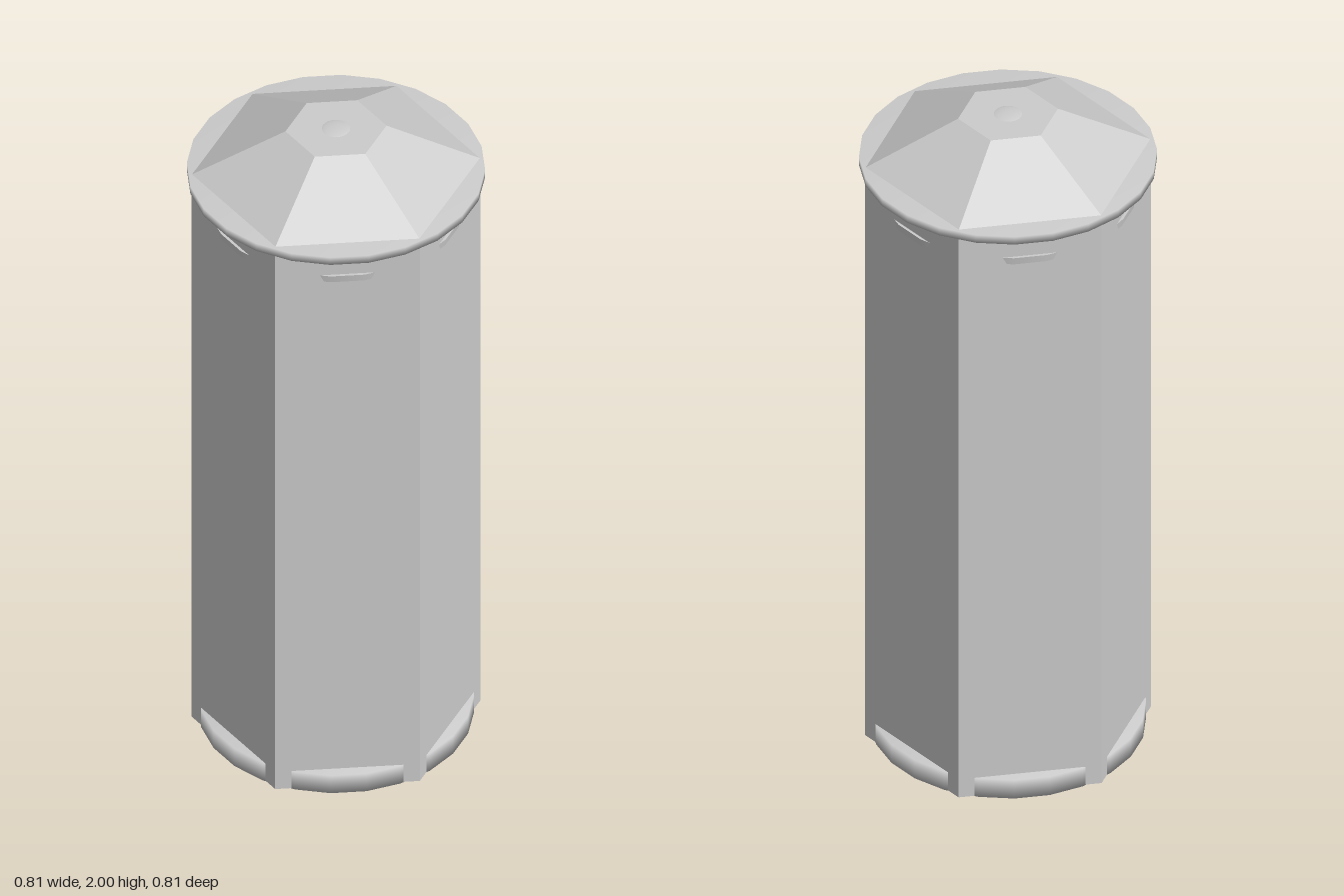
import * as THREE from 'three';
import { mergeVertices } from 'three/addons/utils/BufferGeometryUtils.js';

const HEX_RADIUS = 0.395;

export function createModel() {
  const group = new THREE.Group();
  const grey = new THREE.MeshStandardMaterial({ color: 0xcccccc });
  grey.name = 'light grey';

  function add(name, geometry) {
    const mesh = new THREE.Mesh(geometry, grey);
    mesh.name = name;
    group.add(mesh);
    return mesh;
  }

  // Six-sided section with a corner facing front and back, flat faces
  function hexPart(name, bottomRadius, topRadius, y0, y1) {
    const geometry = new THREE.CylinderGeometry(topRadius, bottomRadius, y1 - y0, 6).toNonIndexed();
    geometry.computeVertexNormals();
    geometry.translate(0, (y0 + y1) / 2, 0);
    return add(name, geometry);
  }

  // 24-sided disc with flats facing the axes; soft discs blend normals over the rim
  function disc(name, bottomRadius, topRadius, y0, y1, soft) {
    let geometry = new THREE.CylinderGeometry(topRadius, bottomRadius, y1 - y0, 24, 1, false, Math.PI / 24);
    if (soft) {
      geometry.deleteAttribute('normal');
      geometry.deleteAttribute('uv');
      geometry = mergeVertices(geometry, 1e-4);
      geometry.computeVertexNormals();
    }
    geometry.translate(0, (y0 + y1) / 2, 0);
    return add(name, geometry);
  }

  // Column
  hexPart('body', HEX_RADIUS, HEX_RADIUS, 0.001, 1.85);

  // Round plinth bulging through the flat sides
  disc('base', 0.376, 0.376, 0, 0.06, true);

  // Two vent rings that break through the flats near the top
  for (const y of [1.738, 1.814]) {
    disc('ventRing', 0.35, 0.353, y, y + 0.022, false);
  }

  // Overhanging eave and faceted roof
  disc('eave', 0.406, 0.406, 1.841, 1.866, true);
  hexPart('roof', 0.397, 0.138, 1.864, 1.996);

  // Low domed cap
  const cap = new THREE.SphereGeometry(0.048, 24, 12);
  cap.scale(1, 0.2, 1);
  cap.translate(0, 1.9904, 0);
  add('cap', cap);

  return group;
}
